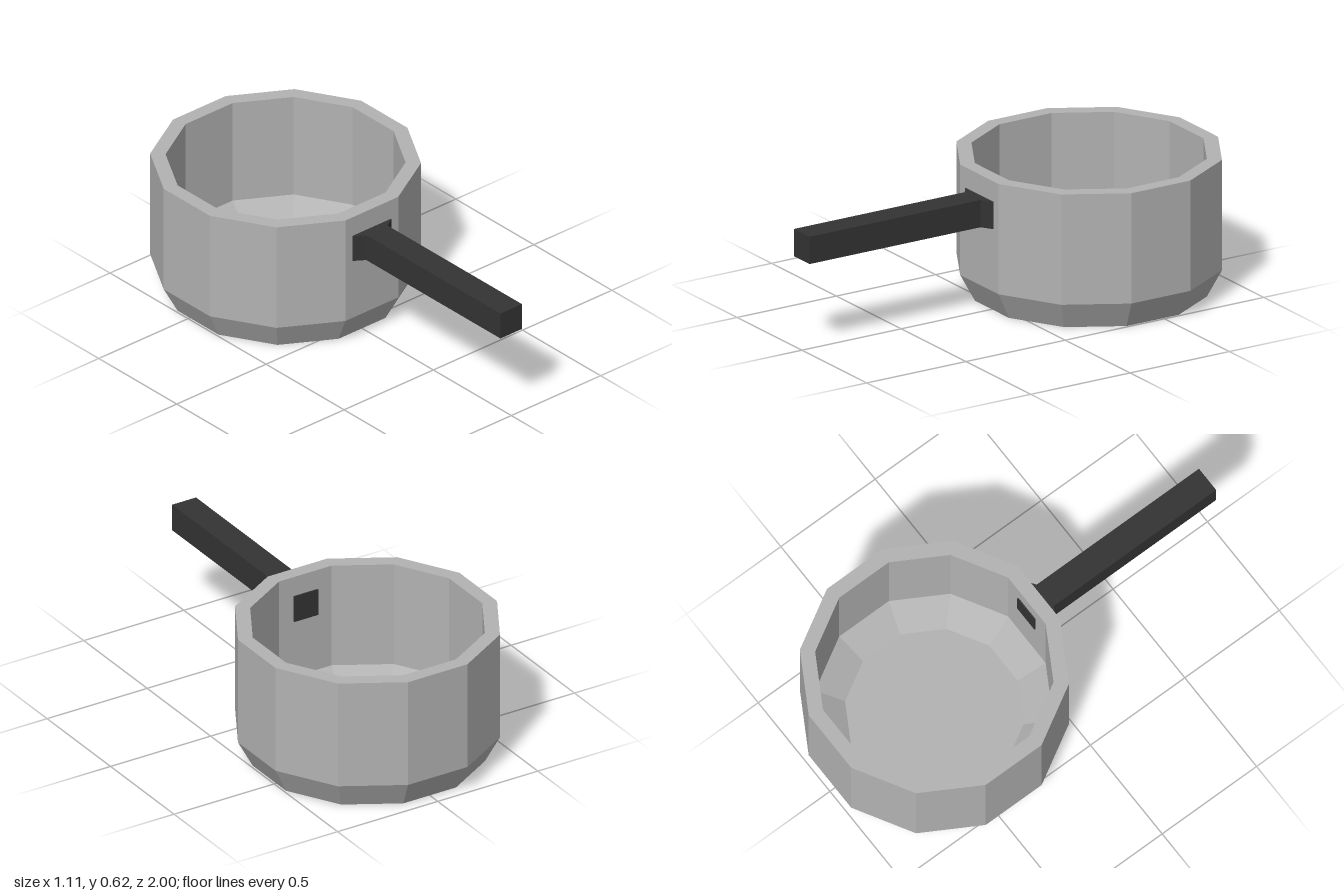
import * as THREE from 'three';

const SIDES = 12;
const POT_Z = -0.447;

export function createModel() {
  const model = new THREE.Group();
  model.name = 'saucepan';

  const steel = new THREE.MeshStandardMaterial({ color: 0xb2b2b2, flatShading: true });
  steel.name = 'steel grey';
  const grip = new THREE.MeshStandardMaterial({ color: 0x333333, flatShading: true });
  grip.name = 'charcoal';

  // Pot: one closed profile of [flat-to-centre distance, height], outside then inside
  const toCorner = 1 / Math.cos(Math.PI / SIDES);
  const profile = [
    [0, 0], [0.49, 0], [0.553, 0.122], [0.553, 0.615],
    [0.49, 0.615], [0.49, 0.137], [0.367, 0.05], [0, 0.05],
  ].map(([r, y]) => new THREE.Vector2(r * toCorner, y));
  const pot = new THREE.Mesh(new THREE.LatheGeometry(profile, SIDES, Math.PI / SIDES), steel);
  pot.name = 'pot';
  pot.position.z = POT_Z;
  model.add(pot);

  // Handle: plan outline with a flared root, passing through the pot wall
  const half = 0.06;
  const flare = 0.108;
  const side = [[half, 0.037], [half, 0.06], [flare, 0.1], [flare, 0.108], [half, 0.14], [half, 1]];
  const outline = [...side, ...side.map(([x, z]) => [-x, z]).reverse()]
    .map(([x, z]) => new THREE.Vector2(x, -z));
  const handleGeometry = new THREE.ExtrudeGeometry(new THREE.Shape(outline), {
    depth: 0.122,
    bevelEnabled: false,
  });
  handleGeometry.rotateX(-Math.PI / 2);
  const handle = new THREE.Mesh(handleGeometry, grip);
  handle.name = 'handle';
  handle.position.set(-0.001, 0.402, 0);
  model.add(handle);

  return model;
}
